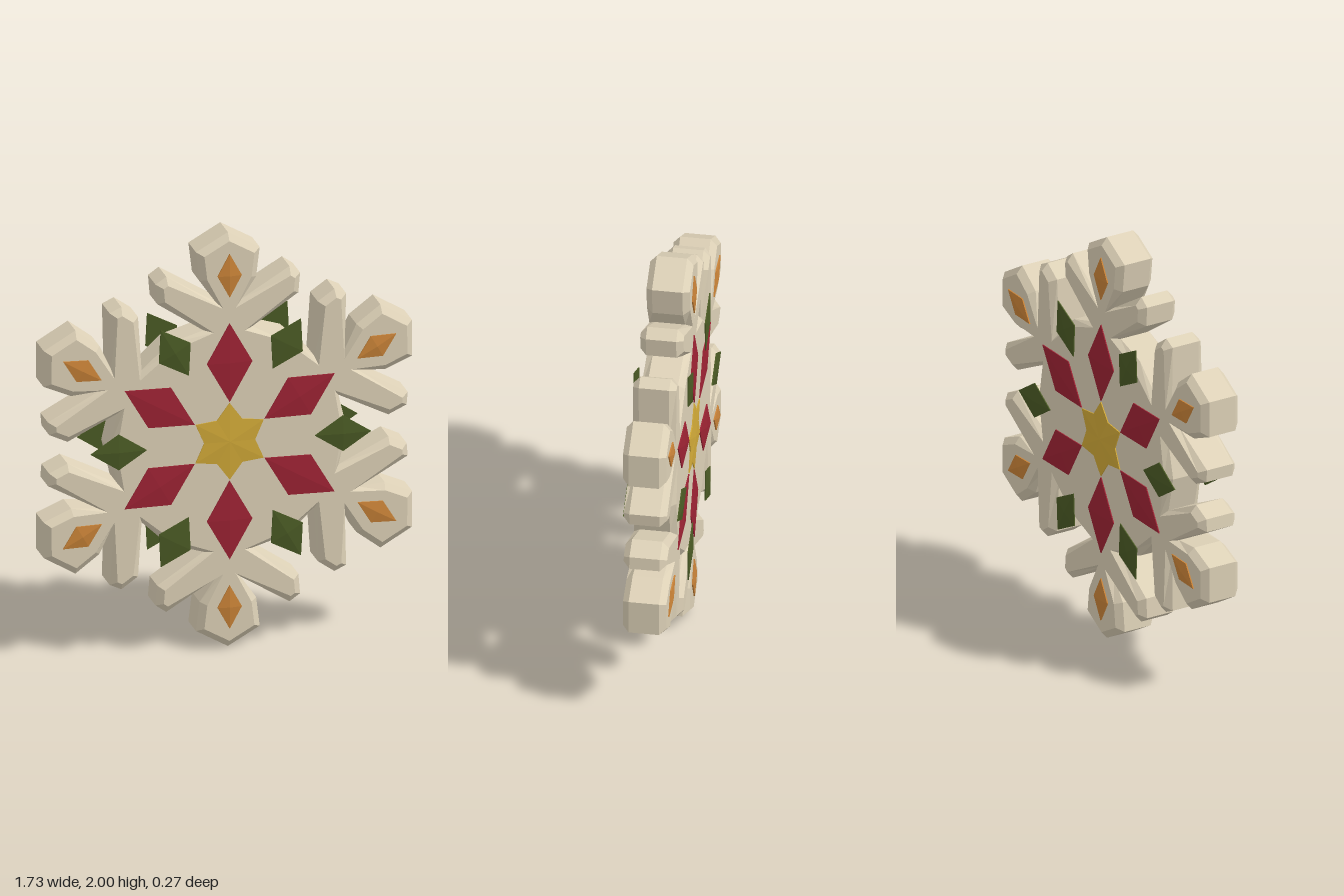
import * as THREE from 'three';

const paint = (name, color) => {
  const m = new THREE.MeshStandardMaterial({ color });
  m.name = name;
  return m;
};

// Thin faceted plate: low rim from z0 to z1 with a shallow peak above its centre
function gemGeometry(points, centre, z0, z1, peak) {
  const pos = [];
  const n = points.length;
  for (let i = 0; i < n; i++) {
    const [ax, ay] = points[i];
    const [bx, by] = points[(i + 1) % n];
    pos.push(ax, ay, z1, bx, by, z1, centre[0], centre[1], peak);
    pos.push(ax, ay, z0, bx, by, z0, bx, by, z1);
    pos.push(ax, ay, z0, bx, by, z1, ax, ay, z1);
    pos.push(bx, by, z0, ax, ay, z0, centre[0], centre[1], z0);
  }
  const g = new THREE.BufferGeometry();
  g.setAttribute('position', new THREE.Float32BufferAttribute(pos, 3));
  g.computeVertexNormals();
  return g;
}

// Diamond lying along +y between two radii
function diamond(inner, outer, halfWidth, z0, z1, peak) {
  const mid = (inner + outer) / 2;
  return gemGeometry([[0, inner], [halfWidth, mid], [0, outer], [-halfWidth, mid]], [0, mid], z0, z1, peak);
}

// Six-armed outline, made from half an arm
function flakeShape() {
  const half = [
    [0.15, 0.915], [0.133, 0.775], [0.06, 0.67],   // rounded arm tip
    [0.29, 0.81], [0.34, 0.775], [0.332, 0.68],    // side branch
    [0.115, 0.535],                                // branch root
  ];
  const valley = [0.56 * Math.sin(Math.PI / 6), 0.56 * Math.cos(Math.PI / 6)];
  const arm = [...half.map(([x, y]) => [-x, y]).reverse(), [0, 1], ...half, valley];
  const points = [];
  for (let k = 0; k < 6; k++) {
    for (const [x, y] of arm) {
      points.push(new THREE.Vector2(x, y).rotateAround(new THREE.Vector2(), -k * Math.PI / 3));
    }
  }
  return new THREE.Shape(points);
}

export function createModel() {
  const model = new THREE.Group();
  model.name = 'snowflakeOrnament';
  const cream = paint('cream', 0xddd1b7);
  const red = paint('red', 0x9e2334);
  const green = paint('green', 0x4a5a24);
  const orange = paint('orange', 0xcb8438);
  const gold = paint('gold', 0xd2aa38);

  const flake = new THREE.Group();
  flake.name = 'snowflake';
  flake.position.y = 1;
  model.add(flake);

  // Bevelled body
  const bodyGeometry = new THREE.ExtrudeGeometry(flakeShape(), {
    depth: 0.14, bevelEnabled: true, bevelSegments: 1,
    bevelThickness: 0.03, bevelSize: 0.03, bevelOffset: -0.03,
  });
  bodyGeometry.translate(0, 0, -0.07);
  const body = new THREE.Mesh(bodyGeometry, cream);
  body.name = 'body';
  flake.add(body);

  // Inlays, shared by both faces
  const star = [];
  for (let i = 0; i < 12; i++) {
    const a = Math.PI / 2 + i * Math.PI / 6;
    const r = i % 2 ? 0.12 : 0.185;
    star.push([r * Math.cos(a), r * Math.sin(a)]);
  }
  const starGeometry = gemGeometry(star, [0, 0], 0.098, 0.105, 0.112);
  const gems = [
    ['petal', diamond(0.19, 0.57, 0.107, 0.098, 0.105, 0.112), red, 0],
    ['tipGem', diamond(0.695, 0.905, 0.057, 0.098, 0.106, 0.114), orange, 0],
    ['leaf', diamond(0.395, 0.66, 0.086, 0.122, 0.127, 0.136), green, Math.PI / 6],
  ];
  // The diamonds run anticlockwise when reversed in x, so every outline faces outward
  for (const [, g] of gems) flipWinding(g);

  for (const side of ['front', 'back']) {
    const face = new THREE.Group();
    face.name = side + 'Inlays';
    if (side === 'back') face.rotation.y = Math.PI;
    const centre = new THREE.Mesh(starGeometry, gold);
    centre.name = 'centreStar';
    face.add(centre);
    for (let k = 0; k < 6; k++) {
      for (const [name, geometry, material, offset] of gems) {
        const gem = new THREE.Mesh(geometry, material);
        gem.name = name;
        gem.rotation.z = offset + k * Math.PI / 3;
        face.add(gem);
      }
    }
    flake.add(face);
  }
  return model;
}

// Swap two corners of each triangle when the outline was given clockwise;
// (0, inner) -> (+w, mid) -> (0, outer) is already anticlockwise, so only clockwise ones change
function flipWinding(g) {
  const p = g.attributes.position;
  const normalZ = g.attributes.normal.getZ(0);
  if (normalZ > 0) return;
  for (let i = 0; i < p.count; i += 3) {
    const [x, y, z] = [p.getX(i), p.getY(i), p.getZ(i)];
    p.setXYZ(i, p.getX(i + 1), p.getY(i + 1), p.getZ(i + 1));
    p.setXYZ(i + 1, x, y, z);
  }
  g.computeVertexNormals();
}
